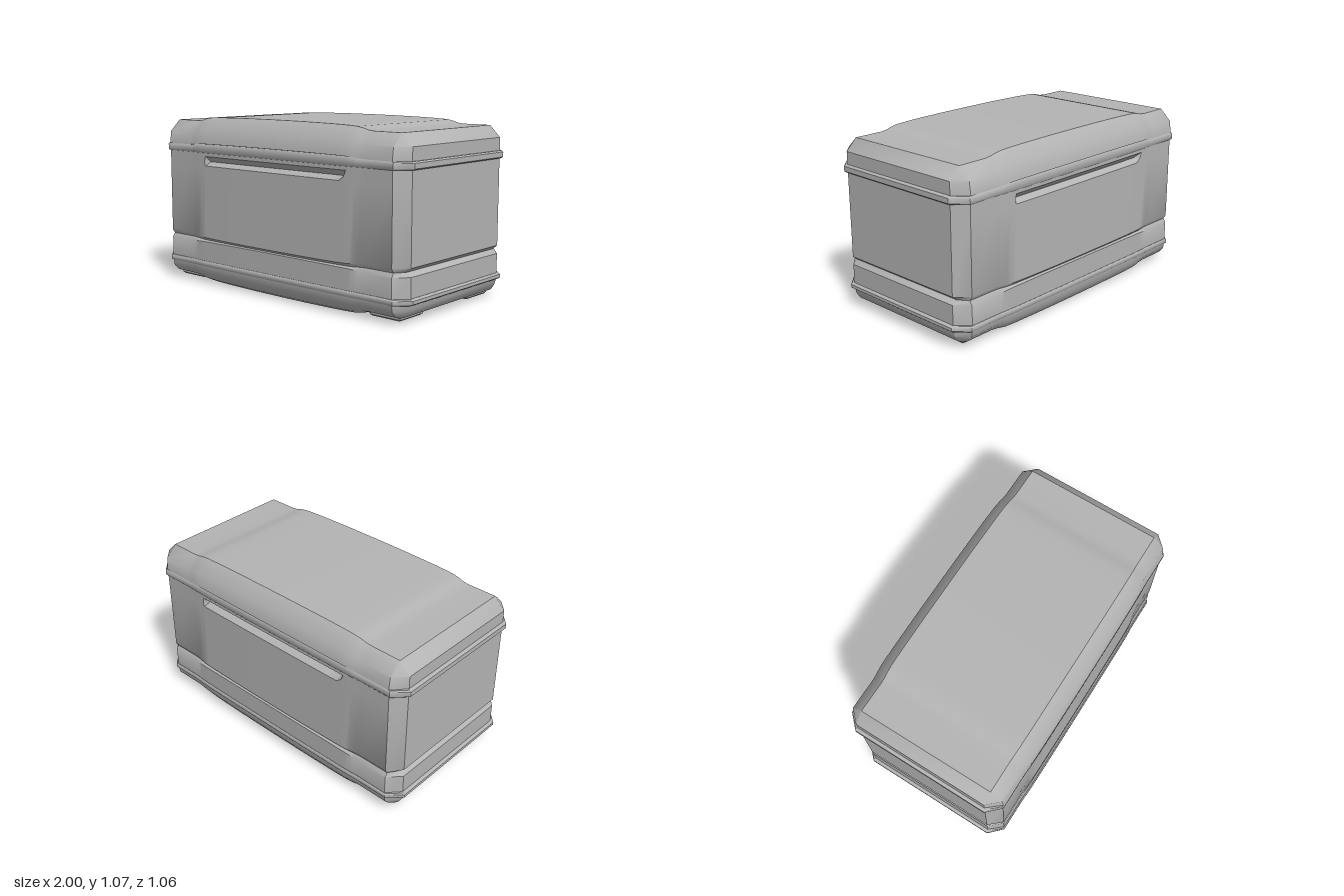
import * as THREE from 'three';
import { toCreasedNormals } from 'three/addons/utils/BufferGeometryUtils.js';

const shellGrey = new THREE.MeshStandardMaterial({ color: 0xb4b4b4 });
shellGrey.name = 'shellGrey';

// Columns across the long sides, and how strongly each one swells
const half = [[0.91, 0], [0.72, 0], [0.68, 0.15], [0.65, 0.42], [0.61, 0.66], [0.575, 0.73],
  [0.55, 0.77], [0.48, 0.85], [0.36, 0.92], [0.2, 0.98]];
const columns = [...half.map(([x, b]) => [-x, b]), [0, 1], ...half.slice().reverse()];
const N = columns.length;

// One horizontal ring: an octagon whose long sides swell in y (by) and z (bz)
function ring({ y, hx, hz, by = 0, bz = 0, cx = 0.91, cz = 0.43, slot = 0, slant = 0 }) {
  const side = (s) => columns.map(([x, b]) => {
    const ax = Math.abs(x);
    const cut = ax < 0.56 ? slot : 0;
    const shift = Math.abs(ax - 0.5625) < 0.02 ? slant * Math.sign(x) : 0;
    const px = ax === 0.91 ? Math.sign(x) * cx : x + shift;
    return [px, y + by * b, s * (hz + bz * b - cut)];
  });
  return [...side(1), [hx, y, cz], [hx, y, -cz], ...side(-1).reverse(), [-hx, y, -cz], [-hx, y, cz]];
}

function geometryFrom(triangles) {
  const g = new THREE.BufferGeometry();
  g.setAttribute('position', new THREE.Float32BufferAttribute(triangles.flat(2), 3));
  return toCreasedNormals(g, 0.7);
}

// Skin a stack of rings, optionally closing the top or bottom
function loft(name, rows, { top = false, bottom = false } = {}) {
  const rings = rows.map(ring);
  const tris = [];
  const same = (p, q) => Math.hypot(p[0] - q[0], p[1] - q[1], p[2] - q[2]) < 1e-6;
  const tri = (a, b, c) => {
    if (!same(a, b) && !same(b, c) && !same(a, c)) tris.push([a, b, c]);
  };
  for (let r = 0; r < rings.length - 1; r++) {
    const lo = rings[r], hi = rings[r + 1], n = lo.length;
    for (let i = 0; i < n; i++) {
      const j = (i + 1) % n;
      tri(lo[i], lo[j], hi[j]);
      tri(lo[i], hi[j], hi[i]);
    }
  }
  const cap = (R, up) => {
    for (let i = 0; i < N - 1; i++) {
      const f0 = R[i], f1 = R[i + 1], b0 = R[2 * N + 1 - i], b1 = R[2 * N - i];
      if (up) { tri(f0, f1, b1); tri(f0, b1, b0); } else { tri(f0, b1, f1); tri(f0, b0, b1); }
    }
  };
  if (top) cap(rings[rings.length - 1], true);
  if (bottom) cap(rings[0], false);
  const mesh = new THREE.Mesh(geometryFrom(tris), shellGrey);
  mesh.name = name;
  return mesh;
}

// Bevelled square foot with a sunken pad underneath
function foot() {
  const steps = [[0.105, 0.04], [0.105, 0.02], [0.095, 0.01], [0.08, 0.01], [0.07, 0.018]];
  const sq = ([h, y]) => [[-h, y, h], [h, y, h], [h, y, -h], [-h, y, -h]];
  const tris = [];
  for (let s = 0; s < steps.length - 1; s++) {
    const hi = sq(steps[s]), lo = sq(steps[s + 1]);
    for (let i = 0; i < 4; i++) {
      const j = (i + 1) % 4;
      tris.push([lo[i], lo[j], hi[j]], [lo[i], hi[j], hi[i]]);
    }
  }
  const p = sq(steps[steps.length - 1]);
  tris.push([p[0], p[2], p[1]], [p[0], p[3], p[2]]);
  return geometryFrom(tris);
}

// Thin raised band around the case
function rim(name, y0, y1, hz, by) {
  const wide = { hx: 1, hz, bz: 0.007, cx: 0.92, cz: 0.437 };
  const inner = { hx: 0.965, hz: 0.495, bz: 0.005 };
  return loft(name, [
    { ...inner, y: y0 },
    { ...wide, y: y0, hx: 0.99, hz: hz - 0.006 },
    { ...wide, y: y0 + 0.008 },
    { ...wide, y: y1 - 0.008, by },
    { ...wide, y: y1, by, hx: 0.99, hz: hz - 0.006 },
    { ...inner, y: y1, by },
  ]);
}

export function createModel() {
  const model = new THREE.Group();
  model.name = 'storageCase';
  const wall = { hx: 0.98, hz: 0.508, bz: 0.008 };

  // Rounded underside
  model.add(loft('base', [
    { y: 0.03, hx: 0.91, hz: 0.43, by: -0.03, bz: 0.006 },
    { y: 0.043, hx: 0.945, hz: 0.468, by: -0.022, bz: 0.008 },
    { y: 0.078, hx: 0.968, hz: 0.5, by: -0.006, bz: 0.01 },
    { ...wall, y: 0.12 },
    { ...wall, y: 0.15 },
  ], { bottom: true }));

  // Walls with a lower groove and a grip slot front and back
  model.add(loft('body', [
    { ...wall, y: 0.15 },
    { ...wall, y: 0.268, by: 0.01 },
    { ...wall, y: 0.292, by: -0.01, hx: 0.95, hz: 0.492 },
    { ...wall, y: 0.317, by: -0.02 },
    { ...wall, y: 0.76, slant: -0.008 },
    { ...wall, y: 0.785, slot: 0.035 },
    { ...wall, y: 0.82, slant: 0.015 },
    { ...wall, y: 0.89, by: 0.012 },
  ]));

  model.add(rim('lowerRim', 0.115, 0.15, 0.516, 0));
  model.add(rim('upperRim', 0.842, 0.888, 0.518, 0.012));

  // Swelling lid with bevelled edges
  model.add(loft('lid', [
    { y: 0.885, hx: 0.965, hz: 0.495, by: 0.012, bz: 0.005 },
    { y: 0.888, hx: 0.98, hz: 0.513, by: 0.014, bz: 0.016 },
    { y: 0.965, hx: 0.98, hz: 0.503, by: 0.026, bz: 0.01 },
    { y: 1.035, hx: 0.91, hz: 0.43, by: 0.032, bz: 0.008 },
  ], { top: true }));

  // Four feet
  const footGeometry = foot();
  for (const sx of [-1, 1]) for (const sz of [-1, 1]) {
    const mesh = new THREE.Mesh(footGeometry, shellGrey);
    mesh.name = (sz > 0 ? 'front' : 'back') + (sx > 0 ? 'Left' : 'Right') + 'Foot';
    mesh.position.set(sx * 0.805, 0, sz * 0.325);
    model.add(mesh);
  }
  return model;
}
